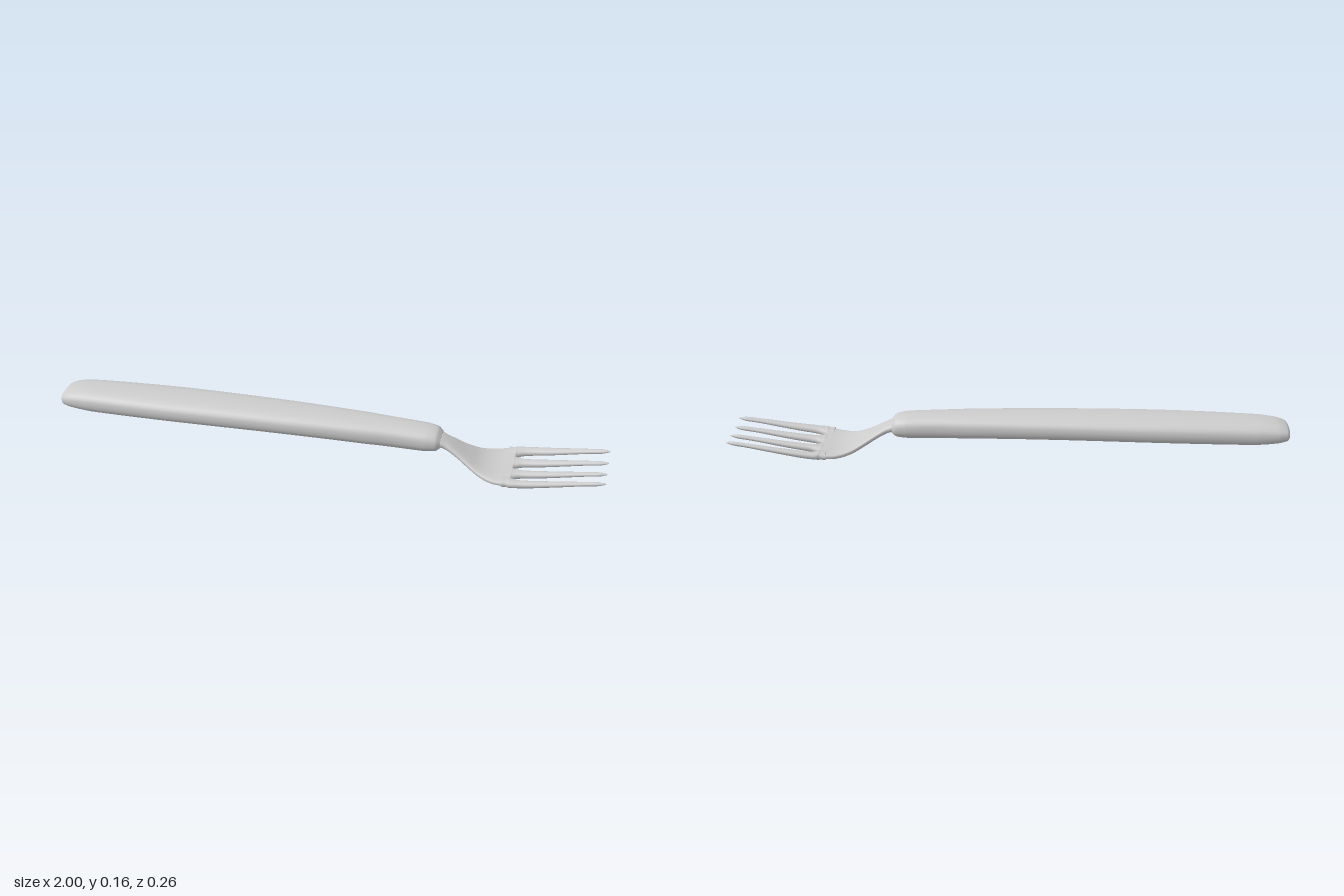
import * as THREE from 'three';

const material = new THREE.MeshStandardMaterial({ color: 0xcccccc });

// Rounded cross-sections swept along x. Station: [x, yCentre, zCentre, halfWidth, halfHeight, squareness]
function loft(name, stations, steps, sides, bowl = 0) {
  const path = new THREE.CatmullRomCurve3(stations.map(s => new THREE.Vector3(s[0], s[1], s[2])));
  const size = new THREE.CatmullRomCurve3(stations.map(s => new THREE.Vector3(s[3], s[4], s[5])));
  const pos = [], index = [];
  const power = (v, n) => Math.sign(v) * Math.abs(v) ** (2 / n);
  const ring = t => {
    const c = path.getPoint(t), s = size.getPoint(t), start = pos.length / 3;
    for (let j = 0; j < sides; j++) {
      const a = (j / sides) * Math.PI * 2;
      const z = c.z + s.x * power(Math.cos(a), s.z);
      pos.push(c.x, c.y + s.y * power(Math.sin(a), s.z) + bowl * z * z, z);
    }
    return start;
  };
  for (let i = 0; i <= steps; i++) {
    const b = ring(i / steps);
    if (i === 0) continue;
    for (let j = 0; j < sides; j++) {
      const k = (j + 1) % sides, p = b - sides;
      index.push(p + j, b + j, p + k, p + k, b + j, b + k);
    }
  }
  // Flat end caps with their own vertices
  for (const t of [0, 1]) {
    const b = ring(t), c = path.getPoint(t);
    pos.push(c.x, c.y + bowl * c.z * c.z, c.z);
    for (let j = 0; j < sides; j++) {
      const k = (j + 1) % sides;
      index.push(b + sides, b + (t ? k : j), b + (t ? j : k));
    }
  }
  const geometry = new THREE.BufferGeometry();
  geometry.setAttribute('position', new THREE.Float32BufferAttribute(pos, 3));
  geometry.setIndex(index);
  geometry.computeVertexNormals();
  const mesh = new THREE.Mesh(geometry, material);
  mesh.name = name;
  return mesh;
}

export function createModel() {
  const group = new THREE.Group();
  group.name = 'fork';

  // Thick, slightly arched grip
  group.add(loft('handle', [
    [-1.0, 0.108, 0, 0.048, 0.016, 2.5],
    [-0.992, 0.109, 0, 0.062, 0.026, 2.5],
    [-0.96, 0.111, 0, 0.073, 0.036, 2.5],
    [-0.88, 0.112, 0, 0.081, 0.044, 2.5],
    [-0.55, 0.117, 0, 0.09, 0.046, 2.5],
    [-0.15, 0.118, 0, 0.083, 0.045, 2.5],
    [0.15, 0.113, 0, 0.071, 0.045, 2.5],
    [0.36, 0.106, 0, 0.061, 0.043, 2.4],
    [0.4, 0.104, 0, 0.055, 0.037, 2.3],
    [0.415, 0.103, 0, 0.044, 0.024, 2.2],
  ], 54, 32));

  // Neck dipping and widening into the head
  group.add(loft('neckAndHead', [
    [0.38, 0.112, 0, 0.045, 0.019, 2.4],
    [0.42, 0.1, 0, 0.042, 0.018, 2.4],
    [0.46, 0.08, 0, 0.046, 0.016, 2.5],
    [0.51, 0.05, 0, 0.064, 0.015, 2.8],
    [0.56, 0.025, 0, 0.09, 0.014, 3],
    [0.61, 0.015, 0, 0.113, 0.0135, 3.2],
    [0.672, 0.018, 0, 0.127, 0.013, 3.4],
  ], 36, 48, 0.5));

  // Four tapering tines, mirrored in pairs
  for (const side of [1, -1]) {
    const sideName = side > 0 ? 'Right' : 'Left';
    for (const [label, zRoot, wRoot, zMid, zTip] of [
      ['outerTine', 0.099, 0.027, 0.111, 0.109],
      ['innerTine', 0.037, 0.037, 0.038, 0.037],
    ]) {
      group.add(loft(label + sideName, [
        [0.645, 0.017, side * zRoot, wRoot, 0.0125, 3],
        [0.666, 0.018, side * zRoot, wRoot, 0.0128, 3],
        [0.678, 0.019, side * (zRoot * 0.5 + zMid * 0.5), wRoot * 0.5 + 0.0115, 0.0128, 2.7],
        [0.705, 0.021, side * zMid, 0.0185, 0.0125, 2.4],
        [0.8, 0.034, side * zMid, 0.0155, 0.0105, 2.2],
        [0.92, 0.053, side * (zMid + zTip) / 2, 0.0105, 0.0075, 2.1],
        [0.985, 0.062, side * zTip, 0.0065, 0.005, 2],
        [1.0, 0.064, side * zTip, 0.002, 0.0015, 2],
      ], 35, 16, 0.5));
    }
  }
  return group;
}
